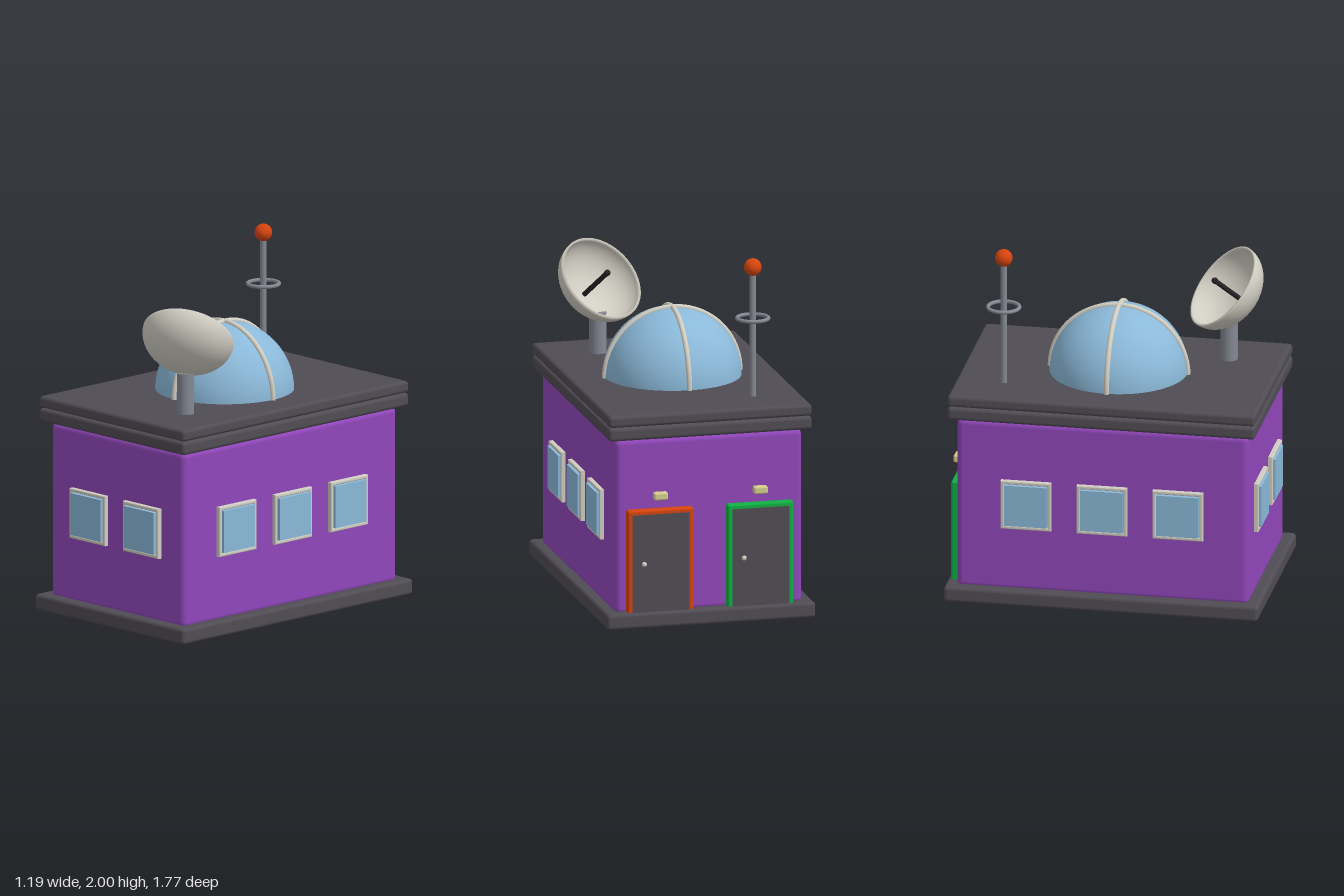
import * as THREE from 'three';
import { RoundedBoxGeometry } from 'three/addons/geometries/RoundedBoxGeometry.js';

const material = (name, color, side = THREE.FrontSide) => {
  const m = new THREE.MeshStandardMaterial({ color, side });
  m.name = name;
  return m;
};

export function createModel() {
  const purple = material('purple wall', 0x9147bb);
  const dark = material('dark slate', 0x504c54);
  const glass = material('blue glass', 0x8bb9d9);
  const trim = material('pale trim', 0xd0cdc2, THREE.DoubleSide);
  const metal = material('grey metal', 0x858893);
  const orange = material('orange', 0xd6440e);
  const green = material('green', 0x10b045);
  const lampYellow = material('lamp yellow', 0xd6ce8c);
  const black = material('black', 0x242426);

  const model = new THREE.Group();
  model.name = 'observatory';

  const add = (name, geometry, mat, x = 0, y = 0, z = 0, parent = model) => {
    const mesh = new THREE.Mesh(geometry, mat);
    mesh.name = name;
    mesh.position.set(x, y, z);
    parent.add(mesh);
    return mesh;
  };
  const rounded = (w, h, d, r) => new RoundedBoxGeometry(w, h, d, 4, r);
  const rod = (r, h, sides = 32) => new THREE.CylinderGeometry(r, r, h, sides);

  // Base, walls and two stacked roof slabs
  const zc = 0.005;
  add('base', rounded(1.19, 0.09, 1.766, 0.02), dark, 0, 0.045, zc);
  add('walls', rounded(1.068, 1.0, 1.64, 0.035), purple, 0, 0.57, zc);
  add('lowerRoof', rounded(1.16, 0.075, 1.73, 0.02), dark, 0, 1.109, zc);
  add('upperRoof', rounded(1.16, 0.066, 1.73, 0.02), dark, 0, 1.182, zc);

  // Windows: bevelled square frame with a raised pane
  const square = (s, Type) => new Type([[-s, -s], [s, -s], [s, s], [-s, s]].map(p => new THREE.Vector2(...p)));
  const frameShape = square(0.134, THREE.Shape);
  frameShape.holes.push(square(0.13, THREE.Path));
  const frameOutline = square(0.136, THREE.Shape);
  frameOutline.holes.push(square(0.128, THREE.Path));
  const frameGeometry = new THREE.ExtrudeGeometry(frameOutline, {
    depth: 0.025, bevelEnabled: true, bevelSize: 0.006, bevelThickness: 0.006, bevelSegments: 3,
  });
  const paneGeometry = new THREE.BoxGeometry(0.238, 0.238, 0.05);
  const addWindow = (x, z, turn) => {
    const g = new THREE.Group();
    g.name = 'window';
    add('windowFrame', frameGeometry, trim, 0, 0, -0.005, g);
    add('windowPane', paneGeometry, glass, 0, 0, 0.012, g);
    g.position.set(x, 0.585, z);
    g.rotation.y = turn;
    model.add(g);
  };
  for (const x of [-0.2125, 0.2125]) addWindow(x, 0.825, 0);
  for (const side of [-1, 1]) {
    for (const i of [-1, 0, 1]) addWindow(side * 0.534, zc + i * 0.427, side * Math.PI / 2);
  }

  // Two back doors, each with a coloured surround, knob and lamp
  const addDoor = (x, color) => {
    const g = new THREE.Group();
    g.name = 'door';
    g.position.x = x;
    model.add(g);
    add('doorSurround', rounded(0.375, 0.59, 0.06, 0.012), color, 0, 0.375, -0.829, g);
    add('doorPanel', new THREE.BoxGeometry(0.325, 0.555, 0.06), dark, 0, 0.3675, -0.832, g);
    add('doorKnob', new THREE.SphereGeometry(0.014, 20, 14), trim, 0.097, 0.365, -0.869, g);
    add('doorLamp', rounded(0.08, 0.043, 0.046, 0.01), lampYellow, 0, 0.746, -0.85, g);
  };
  addDoor(0.285, orange);
  addDoor(-0.285, green);

  // Glass dome with two crossing ribs
  const domeY = 1.21;
  add('dome', new THREE.SphereGeometry(0.385, 64, 24, 0, Math.PI * 2, 0, Math.PI / 2), glass, 0, domeY, 0);
  for (const turn of [0, Math.PI / 2]) {
    add('domeRib', new THREE.TorusGeometry(0.387, 0.015, 12, 64, Math.PI), trim, 0, domeY, 0).rotation.y = turn;
  }

  // Antenna with ring and ball
  const ax = -0.308, az = -0.592;
  add('antennaRod', rod(0.018, 0.74), metal, ax, 1.57, az);
  add('antennaRing', new THREE.TorusGeometry(0.087, 0.011, 12, 48), metal, ax, 1.66, az).rotation.x = Math.PI / 2;
  add('antennaBall', new THREE.SphereGeometry(0.049, 32, 20), orange, ax, 1.951, az);

  // Dish on a mast, tipped up and towards the back
  add('dishMast', rod(0.048, 0.24), metal, 0.279, 1.325, 0.567);
  const dish = new THREE.Group();
  dish.name = 'dish';
  dish.position.set(0.267, 1.645, 0.533);
  dish.quaternion.setFromUnitVectors(
    new THREE.Vector3(0, 1, 0), new THREE.Vector3(-0.38, 0.65, -0.66).normalize());
  model.add(dish);
  const bowlArc = (r, depth) => Array.from({ length: 21 }, (_, i) => {
    const a = (i / 20) * Math.PI / 2;
    return new THREE.Vector2(r * Math.sin(a), -depth * Math.cos(a));
  });
  const profile = [...bowlArc(0.257, 0.193), ...bowlArc(0.245, 0.18).reverse()];
  add('dishBowl', new THREE.LatheGeometry(profile, 64), trim, 0, 0, 0, dish);
  add('dishReceiver', rod(0.014, 0.25, 20), black, 0, -0.06, 0, dish);
  add('receiverTip', new THREE.SphereGeometry(0.018, 20, 14), black, 0, 0.06, 0, dish);

  return model;
}
